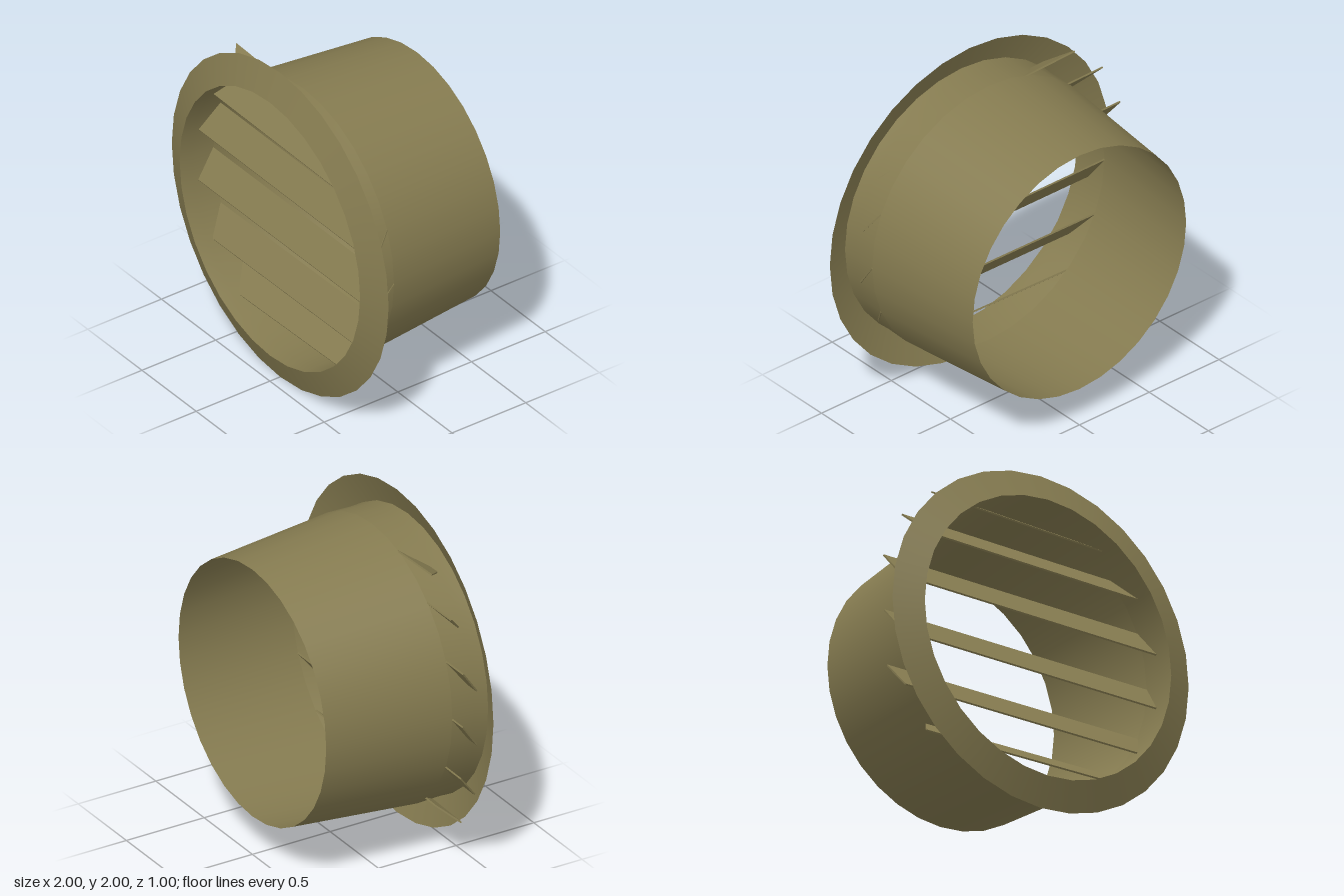
import * as THREE from 'three';

const CENTER_Y = 1;
const SEGMENTS = 32;

// Surface of revolution around the z axis from [radius, z] points
function revolve(points, material, name) {
  const profile = points.map(([r, z]) => new THREE.Vector2(r, z));
  const geometry = new THREE.LatheGeometry(profile, SEGMENTS);
  geometry.rotateX(Math.PI / 2);
  geometry.translate(0, CENTER_Y, 0);
  const mesh = new THREE.Mesh(geometry, material);
  mesh.name = name;
  return mesh;
}

// Thin slanted blade: its right end meets the duct, its left end pokes through
function makeSlat({ back, front, slope, leftBack, leftFront }, material) {
  const geometry = new THREE.BoxGeometry(1, 1, 1);
  const p = geometry.attributes.position;
  for (let i = 0; i < p.count; i++) {
    const isBack = p.getZ(i) < 0;
    const y = isBack ? back : front;
    const left = isBack ? leftBack : leftFront;
    const x = p.getX(i) > 0 ? Math.sqrt(0.836 ** 2 - (y - CENTER_Y) ** 2) : left;
    const drop = p.getY(i) > 0 ? 0 : 0.008;
    p.setXYZ(i, x, y + slope * x - drop, (isBack ? 0.272 : 0.388) - drop * 0.6);
  }
  geometry.computeVertexNormals();
  const mesh = new THREE.Mesh(geometry, material);
  mesh.name = 'slat';
  return mesh;
}

export function createModel() {
  const group = new THREE.Group();
  group.name = 'roundVent';
  const olive = new THREE.MeshStandardMaterial({ color: 0x857b50, side: THREE.DoubleSide });
  olive.name = 'olive';

  // Sloped front flange
  group.add(revolve([[1, 0.43], [0.832, 0.5]], olive, 'flange'));
  // Short collar and tapered duct, open at both ends
  group.add(revolve([[0.832, 0.5], [0.828, 0.42], [0.832, 0.27]], olive, 'collar'));
  group.add(revolve([[0.832, 0.27], [0.765, -0.5]], olive, 'duct'));

  // Louvre slats from top to bottom
  const slats = [
    { back: 1.778, front: 1.706, slope: -0.035, leftBack: -0.62, leftFront: -0.49 },
    { back: 1.598, front: 1.473, slope: -0.014, leftBack: -0.82, leftFront: -0.71 },
    { back: 1.325, front: 1.17, slope: -0.006, leftBack: -0.945, leftFront: -0.9 },
    { back: 1.0, front: 0.842, slope: 0, leftBack: -0.94, leftFront: -0.9 },
    { back: 0.68, front: 0.532, slope: 0.008, leftBack: -0.92, leftFront: -0.88 },
    { back: 0.402, front: 0.303, slope: 0.022, leftBack: -0.66, leftFront: -0.74 },
  ];
  const louvres = new THREE.Group();
  louvres.name = 'louvres';
  for (const slat of slats) louvres.add(makeSlat(slat, olive));
  group.add(louvres);
  return group;
}
